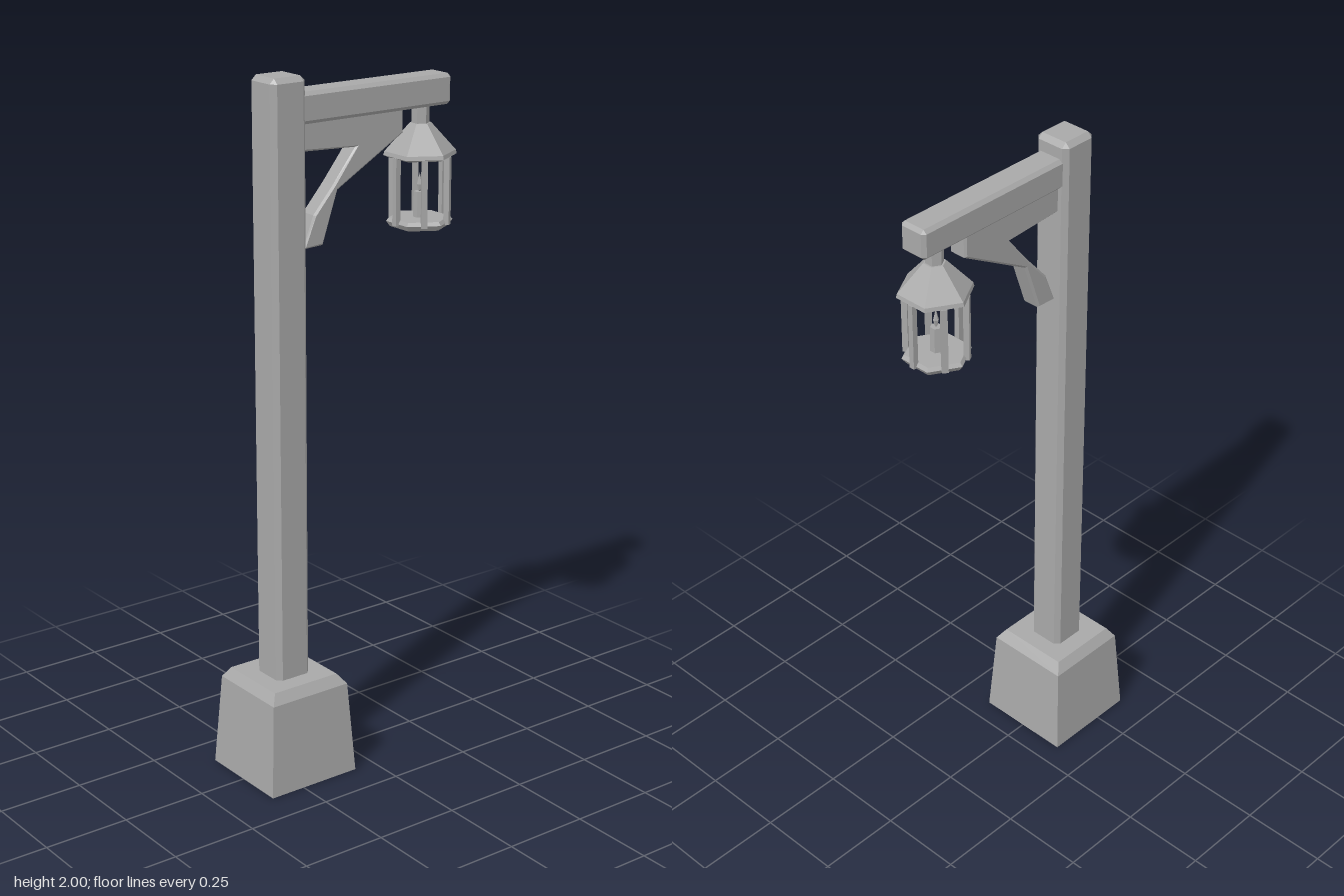
import * as THREE from 'three';
import { ConvexGeometry } from 'three/addons/geometries/ConvexGeometry.js';

const grey = new THREE.MeshStandardMaterial({ color: 0xa8a8a8 });
grey.name = 'weathered grey';

// Give every face its own flat normal
function faceted(geometry) {
  const g = geometry.index ? geometry.toNonIndexed() : geometry;
  g.computeVertexNormals();
  return g;
}

function part(name, geometry, x = 0, y = 0, z = 0) {
  const mesh = new THREE.Mesh(faceted(geometry), grey);
  mesh.name = name;
  mesh.position.set(x, y, z);
  return mesh;
}

// Box with every edge and corner cut at 45 degrees
function chamferedBox(w, h, d, c) {
  const points = [];
  for (const sx of [-1, 1]) for (const sy of [-1, 1]) for (const sz of [-1, 1]) {
    const x = w / 2, y = h / 2, z = d / 2;
    points.push(
      new THREE.Vector3(sx * x, sy * (y - c), sz * (z - c)),
      new THREE.Vector3(sx * (x - c), sy * y, sz * (z - c)),
      new THREE.Vector3(sx * (x - c), sy * (y - c), sz * z));
  }
  return new ConvexGeometry(points);
}

// Six-sided turned solid with corners on the z axis
function hexLathe(profile) {
  return new THREE.LatheGeometry(profile.map(([r, y]) => new THREE.Vector2(r, y)), 6);
}

// Tapered foot block: rings of [x min, x max, half depth, y]
function footing() {
  const rings = [[-0.357, -0.066, 0.145, 0], [-0.339, -0.083, 0.128, 0.27], [-0.32, -0.106, 0.108, 0.3]];
  const points = [];
  for (const [x0, x1, d, y] of rings)
    for (const x of [x0, x1]) for (const z of [-d, d]) points.push(new THREE.Vector3(x, y, z));
  return new ConvexGeometry(points);
}

// Bent brace under the beam, pinched in the middle
function brace() {
  const b = 0.006;
  const shape = new THREE.Shape([
    [-0.165, 1.87], [0.179, 1.87], [0.179, 1.808], [-0.043, 1.68], [-0.092, 1.537],
    [-0.147, 1.533], [-0.113, 1.614], [-0.048, 1.688], [0.03, 1.789], [-0.165, 1.8],
  ].map(([x, y]) => new THREE.Vector2(x, y)));
  const g = new THREE.ExtrudeGeometry(shape, {
    depth: 0.046, bevelEnabled: true, bevelSize: b, bevelThickness: b, bevelSegments: 1,
  });
  return g.translate(0, 0, -0.023);
}

function lantern() {
  const group = new THREE.Group();
  group.name = 'lantern';
  group.position.x = 0.266;

  group.add(part('hanger', new THREE.CylinderGeometry(0.025, 0.025, 0.06, 6), 0, 1.845));
  group.add(part('lanternRoof', hexLathe([
    [0, 1.725], [0.09, 1.725], [0.103, 1.731], [0.1, 1.742], [0.03, 1.82], [0, 1.82],
  ])));
  group.add(part('lanternFloor', hexLathe([
    [0, 1.53], [0.083, 1.53], [0.094, 1.545], [0.086, 1.555], [0, 1.555],
  ])));

  // Uprights stand at the middle of each side
  for (let i = 0; i < 6; i++) {
    const a = i * Math.PI / 3;
    const post = part('lanternUpright', new THREE.BoxGeometry(0.016, 0.19, 0.016),
      Math.cos(a) * 0.082, 1.635, Math.sin(a) * 0.082);
    post.rotation.y = -a;
    group.add(post);
  }

  group.add(part('candle', new THREE.CylinderGeometry(0.016, 0.018, 0.076, 6), 0, 1.589));
  group.add(part('flame', hexLathe([[0, 1.625], [0.004, 1.63], [0.008, 1.647], [0.004, 1.663], [0, 1.68]])));
  return group;
}

export function createModel() {
  const model = new THREE.Group();
  model.name = 'lampPost';
  model.add(part('footing', footing()));
  model.add(part('post', chamferedBox(0.112, 1.8, 0.11, 0.014), -0.213, 1.1));
  model.add(part('beam', chamferedBox(0.523, 0.086, 0.086, 0.01), 0.0815, 1.911));
  model.add(part('brace', brace()));
  model.add(lantern());
  return model;
}
